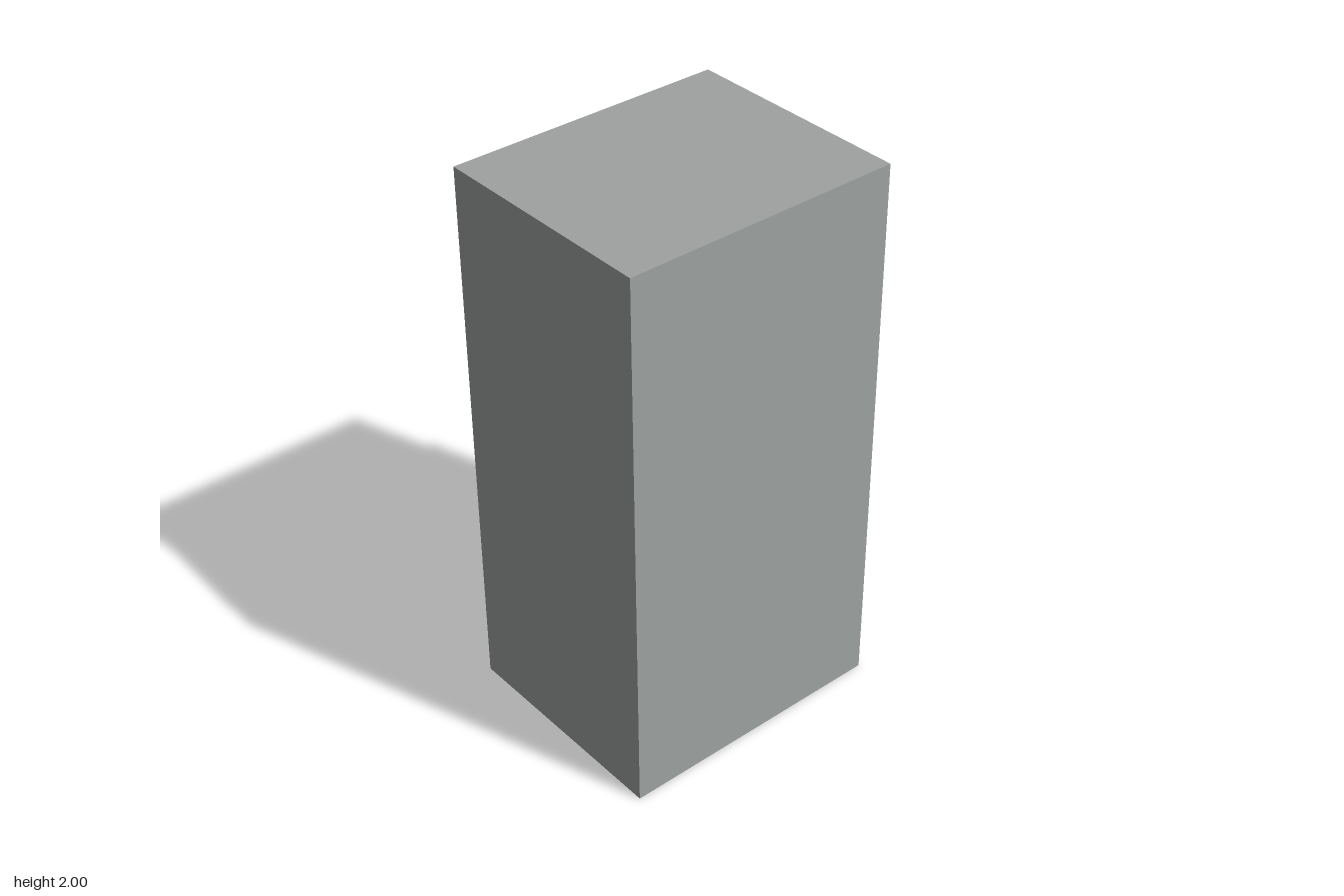
import * as THREE from 'three';
import { RoundedBoxGeometry } from 'three/addons/geometries/RoundedBoxGeometry.js';

const steel = new THREE.MeshStandardMaterial({ color: 0x9ea2a0 });
steel.name = 'grey steel';

function add(parent, name, geometry, x = 0, y = 0, z = 0) {
  const mesh = new THREE.Mesh(geometry, steel);
  mesh.name = name;
  mesh.position.set(x, y, z);
  parent.add(mesh);
  return mesh;
}

// Rectangular frame with a window, extruded along +z
function frameGeometry(x, y0, y1, ix, iy0, iy1, depth) {
  const rect = (C, w, a, b) => {
    const p = new C();
    p.moveTo(-w, a); p.lineTo(w, a); p.lineTo(w, b); p.lineTo(-w, b); p.closePath();
    return p;
  };
  const shape = rect(THREE.Shape, x, y0, y1);
  shape.holes.push(rect(THREE.Path, ix, iy0, iy1));
  return new THREE.ExtrudeGeometry(shape, { depth, bevelEnabled: false });
}

// Bracket handle: two feet, two legs and a grip
function makeHandle(y) {
  const handle = new THREE.Group();
  handle.name = 'handle';
  handle.position.y = y;
  for (const s of [-1, 1]) {
    add(handle, 'handleFoot', new THREE.BoxGeometry(0.038, 0.046, 0.006), s * 0.099, 0, -0.478);
    add(handle, 'handleLeg', new THREE.BoxGeometry(0.028, 0.026, 0.062), s * 0.099, 0, -0.505);
  }
  add(handle, 'handleGrip', new RoundedBoxGeometry(0.234, 0.032, 0.032, 2, 0.006), 0, 0, -0.545);
  return handle;
}

// Label holder: thin frame with a small tab at each end
function makeLabelHolder(y) {
  const holder = new THREE.Group();
  holder.name = 'labelHolder';
  holder.position.set(0, y, -0.481);
  add(holder, 'labelFrame', frameGeometry(0.08, -0.032, 0.032, 0.071, -0.023, 0.023, 0.007));
  for (const s of [-1, 1]) {
    add(holder, 'labelTab', new THREE.BoxGeometry(0.012, 0.02, 0.006), s * 0.084, 0, 0.003);
  }
  return holder;
}

function makeDrawer(name, bottom, top, handleY, labelY) {
  const drawer = new THREE.Group();
  drawer.name = name;
  const h = top - bottom, mid = (top + bottom) / 2;
  add(drawer, 'drawerFront', new RoundedBoxGeometry(0.77, h, 0.033, 2, 0.005), 0, mid, -0.4585);
  // Set-in back of the drawer front
  add(drawer, 'drawerBack', new THREE.BoxGeometry(0.74, h - 0.03, 0.03), 0, mid, -0.433);
  drawer.add(makeHandle(handleY), makeLabelHolder(labelY));
  return drawer;
}

export function createModel() {
  const cabinet = new THREE.Group();
  cabinet.name = 'filingCabinet';

  // Body, with a shallow rim around the drawer side
  add(cabinet, 'body', new THREE.BoxGeometry(0.83, 2, 0.98), 0, 1, 0.07);
  add(cabinet, 'rim', frameGeometry(0.415, 0, 2, 0.4, 0.04, 1.983, 0.02), 0, 0, -0.44);

  cabinet.add(
    makeDrawer('topDrawer', 1.24, 1.6, 1.36, 1.515),
    makeDrawer('middleDrawer', 0.64, 1.2, 0.86, 1.08),
    makeDrawer('bottomDrawer', 0.055, 0.62, 0.277, 0.495),
  );
  return cabinet;
}
